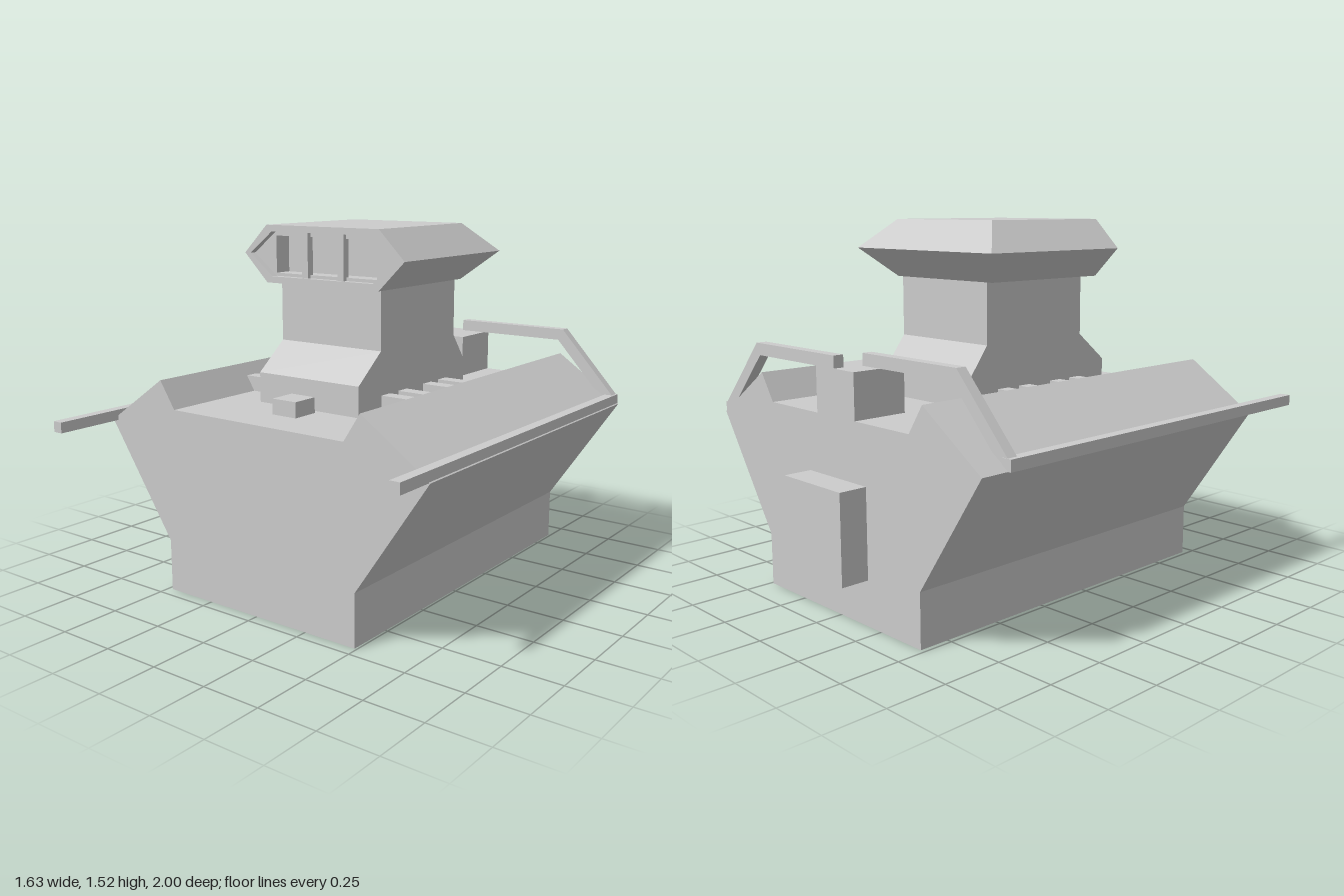
import * as THREE from 'three';

const mat = new THREE.MeshStandardMaterial({ color: 0xcccccc, flatShading: true });
const CX = 0.005; // centre line of hull and tower

function add(parent, name, geometry) {
  const mesh = new THREE.Mesh(geometry, mat);
  mesh.name = name;
  parent.add(mesh);
  return mesh;
}

// Box given by its limits on each axis
function box(parent, name, [x0, x1], [y0, y1], [z0, z1]) {
  const mesh = add(parent, name, new THREE.BoxGeometry(x1 - x0, y1 - y0, z1 - z0));
  mesh.position.set((x0 + x1) / 2, (y0 + y1) / 2, (z0 + z1) / 2);
  return mesh;
}

const toPoints = (list) => list.map(([x, y]) => new THREE.Vector2(x, y));

// Outline (with optional hole) extruded from z0 to z1
function prism(outline, z0, z1, hole) {
  const shape = new THREE.Shape(toPoints(outline));
  if (hole) shape.holes.push(new THREE.Path(toPoints(hole)));
  return new THREE.ExtrudeGeometry(shape, { depth: z1 - z0, bevelEnabled: false }).translate(0, 0, z0);
}

// Solid through stacked rectangles [y, halfWidth, zBack, zFront]
function stack(levels) {
  const pos = [], index = [];
  for (const [y, w, zb, zf] of levels) pos.push(-w, y, zf, w, y, zf, w, y, zb, -w, y, zb);
  for (let l = 0; l < levels.length - 1; l++) {
    for (let i = 0; i < 4; i++) {
      const a = l * 4 + i, b = l * 4 + (i + 1) % 4;
      index.push(a, b, b + 4, a, b + 4, a + 4);
    }
  }
  const t = (levels.length - 1) * 4;
  index.push(0, 2, 1, 0, 3, 2, t, t + 1, t + 2, t, t + 2, t + 3);
  const g = new THREE.BufferGeometry();
  g.setAttribute('position', new THREE.Float32BufferAttribute(pos, 3));
  g.setIndex(index);
  const flat = g.toNonIndexed();
  flat.computeVertexNormals();
  return flat;
}

// Hexagon with pointed sides around height 1.405
const hexagon = (half, tip, h) => [
  [-half, 1.405 - h], [half, 1.405 - h], [tip, 1.405],
  [half, 1.405 + h], [-half, 1.405 + h], [-tip, 1.405],
];

export function createModel() {
  const model = new THREE.Group();
  model.name = 'craft';

  // Hull with a sunken deck
  const half = [[0.485, 0], [0.485, 0.22], [0.81, 0.70], [0.51, 0.905], [0.435, 0.79]];
  const outline = [...half, ...half.map(([x, y]) => [-x, y]).reverse()];
  add(model, 'hull', prism(outline, -0.88, 0.7)).position.x = CX;

  // Tower flaring out towards the deck
  const tower = add(model, 'tower', stack([
    [0.78, 0.258, -0.42, 0.37], [0.917, 0.258, -0.42, 0.37],
    [1.037, 0.258, -0.33, 0.22], [1.29, 0.258, -0.33, 0.22],
  ]));
  tower.position.x = CX;

  // Bridge: solid core, then two frames forming the stepped window recess
  const bridge = new THREE.Group();
  bridge.name = 'bridge';
  bridge.position.x = CX;
  model.add(bridge);
  add(bridge, 'bridgeBody', stack([
    [1.285, 0.288, -0.33, 0.17], [1.405, 0.41, -0.45, 0.17], [1.525, 0.288, -0.33, 0.17],
  ]));
  const outer = hexagon(0.288, 0.41, 0.12);
  const windowHole = [[-0.26, 1.325], [0.26, 1.325], [0.26, 1.48], [-0.26, 1.48]];
  add(bridge, 'windowSurround', prism(outer, 0.17, 0.25, windowHole));
  add(bridge, 'windowFrame', prism(outer, 0.25, 0.28, hexagon(0.26, 0.38, 0.093)));
  for (const x of [-0.092, 0.092]) {
    box(bridge, 'windowBar', [x - 0.015, x + 0.015], [1.312, 1.498], [0.235, 0.268]);
  }

  // Ribs on the deck beside the tower
  for (const z of [-0.24, -0.12, 0.065, 0.185]) {
    for (const s of [-1, 1]) {
      const xs = [CX + s * 0.25, CX + s * 0.475].sort((a, b) => a - b);
      box(model, 'deckRib', xs, [0.78, 0.855], [z - 0.03, z + 0.03]);
    }
  }

  // Small deck box, rear mount and rear panel
  box(model, 'deckBox', [-0.055, 0.065], [0.78, 0.855], [0.4, 0.52]);
  box(model, 'rearMount', [-0.115, 0.125], [0.78, 0.975], [-0.88, -0.64]);
  box(model, 'rearPanel', [-0.175, 0.185], [0.185, 0.55], [-1, -0.87]);

  // Long side rails, staggered, each carried by a bent arm
  box(model, 'rightRail', [-0.82, -0.775], [0.7, 0.745], [-0.76, 1]);
  box(model, 'leftRail', [0.765, 0.81], [0.7, 0.745], [-0.88, 0.875]);
  const arm = [[0.008, 0.975], [0.523, 0.975], [0.77, 0.705], [0.805, 0.74], [0.545, 1.025], [0.008, 1.025]];
  const mirrored = arm.map(([x, y]) => [-x, y]).reverse();
  add(model, 'leftArm', prism(arm, -0.88, -0.835));
  add(model, 'rightArm', prism(mirrored, -0.757, -0.712));

  return model;
}
